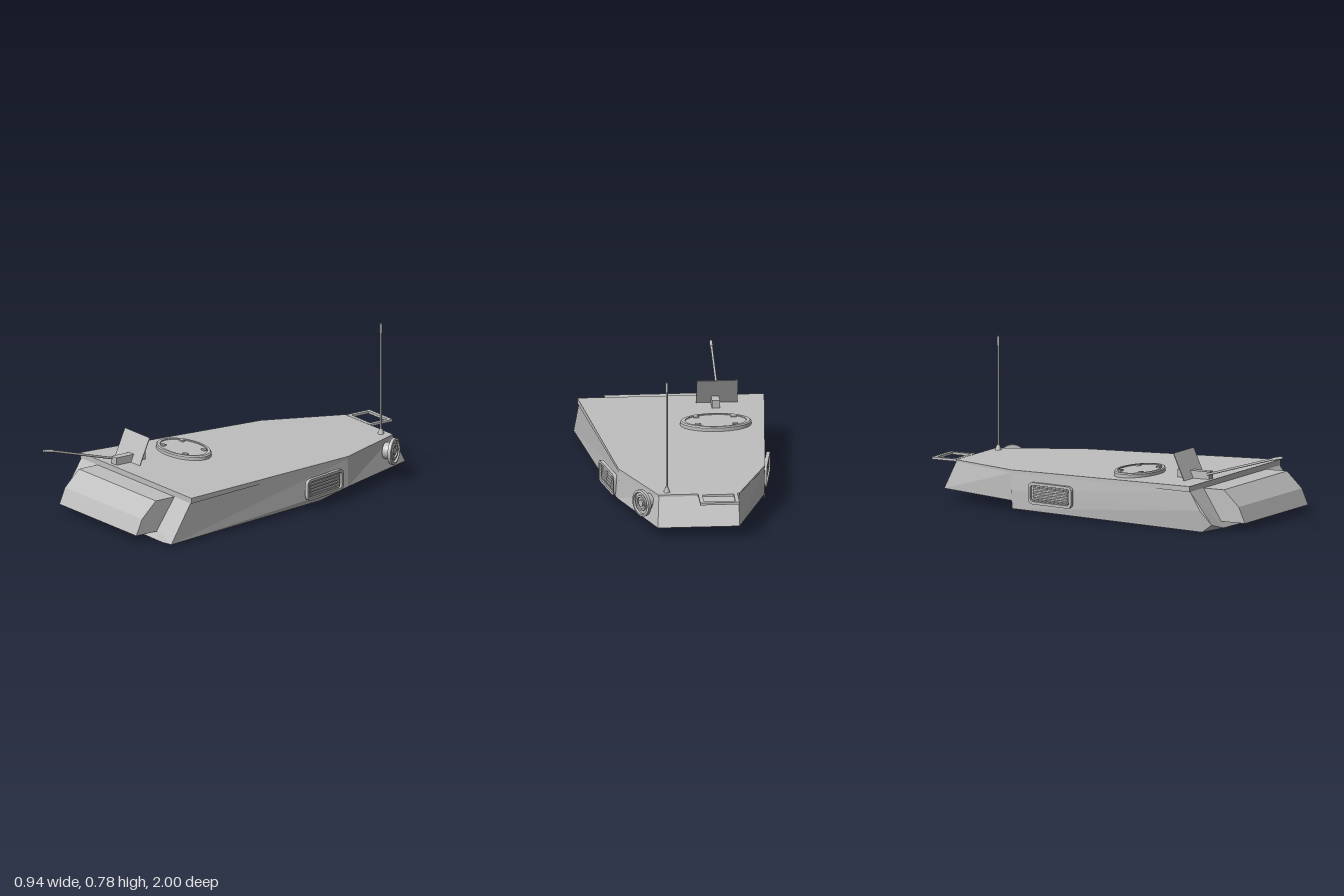
import * as THREE from 'three';

export function createModel() {
  const root = new THREE.Group();
  const grey = new THREE.MeshStandardMaterial({ color: 0xbfbfbf, side: THREE.DoubleSide });
  grey.name = 'light grey';

  const add = (name, geo, parent = root, pos = [0, 0, 0]) => {
    const m = new THREE.Mesh(geo, grey);
    m.name = name;
    m.position.set(...pos);
    parent.add(m);
    return m;
  };
  // Flat convex polygons, each cut into a fan of triangles
  const panel = (name, ...polys) => {
    const v = [];
    for (const p of polys)
      for (let i = 1; i < p.length - 1; i++) v.push(...p[0], ...p[i], ...p[i + 1]);
    const g = new THREE.BufferGeometry();
    g.setAttribute('position', new THREE.Float32BufferAttribute(v, 3));
    g.computeVertexNormals();
    return add(name, g);
  };
  const shapeOf = pts => new THREE.Shape(pts.map(p => new THREE.Vector2(...p)));
  const extrude = (shape, depth) =>
    new THREE.ExtrudeGeometry(shape, { depth, bevelEnabled: false, curveSegments: 8 });
  const roundRect = (w, h, r, T = THREE.Shape) => {
    const s = new T(), x = w / 2, y = h / 2;
    s.moveTo(-x + r, -y);
    s.lineTo(x - r, -y); s.quadraticCurveTo(x, -y, x, -y + r);
    s.lineTo(x, y - r); s.quadraticCurveTo(x, y, x - r, y);
    s.lineTo(-x + r, y); s.quadraticCurveTo(-x, y, -x, y - r);
    s.lineTo(-x, -y + r); s.quadraticCurveTo(-x, -y, -x + r, -y);
    return s;
  };
  const ringPlate = (w, h, r, border, depth) => {
    const s = roundRect(w, h, r);
    s.holes.push(roundRect(w - 2 * border, h - 2 * border, Math.max(r - border, 0.002), THREE.Path));
    return extrude(s, depth);
  };

  // Deck: six-sided plate that thins towards the back
  const deck = extrude(shapeOf([[-0.47, -0.6], [0.459, -0.6], [0.336, 0.455],
    [0.166, 0.857], [-0.235, 0.857], [-0.394, 0.455]]), 1);
  deck.rotateX(-Math.PI / 2);
  const dp = deck.attributes.position;
  for (let i = 0; i < dp.count; i++)
    dp.setY(i, dp.getY(i) > 0.5 ? 0.228 - 0.0125 * (0.6 - dp.getZ(i)) : 0.2);
  deck.computeVertexNormals();
  add('deck', deck);

  // Hull corner points: top edge, then lower edges
  const R0 = [0.452, 0.2, 0.6], R1 = [0.333, 0.2, -0.455], R2 = [0.165, 0.2, -0.857];
  const r0 = [0.468, 0.013, 0.73], r1 = [0.343, 0.06, -0.45], r2 = [0.175, 0.06, -0.925];
  const L0 = [-0.463, 0.2, 0.6], L1 = [-0.391, 0.2, -0.455], L2 = [-0.232, 0.2, -0.857];
  const m0 = [-0.466, 0.11, 0.655], m1 = [-0.395, 0.11, -0.455];
  const lf = [-0.451, 0.04, 0.715], l0 = [-0.45, 0, 0.66], l1 = [-0.392, 0.02, -0.45];
  const k1 = [-0.391, 0.06, -0.45], l2 = [-0.232, 0.06, -0.925];
  const b0 = [0.39, 0.006, 0.73], b1 = [0.343, 0.02, -0.28];
  const c1 = [-0.39, 0.02, -0.28], c0 = [-0.335, 0.01, 0.72];
  const F = [-0.325, 0.2, 0.6];

  panel('rightSide', [r0, r1, R1, R0], [r1, r2, R2, R1]);
  panel('rightUndercut', [r0, b0, b1, r1]);
  panel('leftSide', [L0, L1, m1, m0], [m0, m1, l1, l0], [m0, l0, lf]);
  panel('leftRearSide', [L1, L2, l2, k1]);
  panel('rearWall', [R2, r2, l2, L2]);
  panel('frontWall', [F, c0, b0, r0, R0]);
  panel('frontLeftCorner', [L0, m0, lf, c0, F], [lf, l0, c0]);
  panel('floor', [b0, c0, c1, b1], [b1, c1, k1, r1], [r1, k1, l2, r2]);

  // Nose box across the front
  const nose = extrude(shapeOf([[0.6, 0.2], [0.715, 0.2], [0.8, 0.12], [0.835, 0.04], [0.69, 0.04]]), 0.645);
  nose.rotateY(-Math.PI / 2);
  add('noseBox', nose, root, [0.318, 0, 0]);

  // Oval hatch with a raised rim and four lugs
  const hatch = new THREE.Group();
  hatch.name = 'hatch';
  hatch.position.set(-0.196, 0.215, 0.165);
  hatch.scale.set(0.177, 1, 0.11);
  root.add(hatch);
  const lathe = (pts, n = 40) =>
    new THREE.LatheGeometry(pts.map(p => new THREE.Vector2(...p)), n).toNonIndexed();
  const hatchGeo = lathe([[1, 0], [1, 0.024], [0.96, 0.03], [0.86, 0.03], [0.86, 0.025], [0, 0.025]]);
  hatchGeo.computeVertexNormals();
  add('hatchLid', hatchGeo, hatch);
  for (let i = 0; i < 4; i++) {
    const a = Math.PI / 4 + i * Math.PI / 2;
    add('hatchLug', new THREE.BoxGeometry(0.16, 0.008, 0.16), hatch,
      [Math.cos(a) * 0.74, 0.028, Math.sin(a) * 0.74]);
  }

  // Gun: body, tilted shield and raised barrel
  add('gunBody', new THREE.BoxGeometry(0.04, 0.045, 0.18), root, [-0.215, 0.243, 0.49]);
  const shield = add('gunShield', new THREE.BoxGeometry(0.206, 0.148, 0.004), root, [-0.225, 0.293, 0.459]);
  shield.rotation.x = -0.42;
  const rod = (name, a, b, ra, rb) => {
    const A = new THREE.Vector3(...a), B = new THREE.Vector3(...b), d = B.clone().sub(A);
    const m = add(name, new THREE.CylinderGeometry(rb, ra, d.length(), 10));
    m.position.copy(A).addScaledVector(d, 0.5);
    m.quaternion.setFromUnitVectors(new THREE.Vector3(0, 1, 0), d.normalize());
  };
  rod('gunBarrel', [-0.235, 0.252, 0.57], [-0.235, 0.366, 0.965], 0.006, 0.006);
  rod('gunMuzzle', [-0.235, 0.36, 0.945], [-0.235, 0.371, 0.998], 0.008, 0.008);

  // Antenna
  rod('antennaBase', [0.122, 0.205, -0.815], [0.122, 0.236, -0.815], 0.018, 0.008);
  rod('antennaLower', [0.122, 0.23, -0.815], [0.122, 0.74, -0.815], 0.005, 0.005);
  rod('antennaTip', [0.122, 0.735, -0.815], [0.122, 0.783, -0.815], 0.0065, 0.0065);

  // Open frame at the back
  const frame = ringPlate(0.196, 0.145, 0.003, 0.02, 0.012);
  frame.rotateX(-Math.PI / 2);
  add('rearFrame', frame, root, [-0.128, 0.199, -0.927]);

  // Round lamp with stepped rings on the right rear side
  const lampGeo = lathe([[0, 0], [0.042, 0], [0.042, 0.034], [0.068, 0.038], [0.068, 0.054],
    [0.056, 0.057], [0.054, 0.046], [0.04, 0.046], [0.04, 0.055], [0.03, 0.055],
    [0.03, 0.046], [0.017, 0.046], [0.017, 0.054], [0, 0.054]], 28);
  lampGeo.computeVertexNormals();
  lampGeo.rotateX(Math.PI / 2);
  const lamp = add('sideLamp', lampGeo, root, [0.207, 0.152, -0.778]);
  lamp.rotation.y = Math.atan2(0.84, -0.54);

  // Slatted vents, one on each side
  const vent = (name, x, z, nx, nz) => {
    const g = new THREE.Group();
    g.name = name;
    g.position.set(x, 0.11, z);
    g.rotation.y = Math.atan2(nx, nz);
    root.add(g);
    add('ventBack', extrude(roundRect(0.262, 0.104, 0.026), 0.004), g);
    add('ventRim', ringPlate(0.268, 0.11, 0.03, 0.014, 0.018), g);
    add('ventInnerRim', ringPlate(0.226, 0.078, 0.018, 0.006, 0.012), g);
    for (let i = 0; i < 4; i++)
      add('ventSlat', new THREE.BoxGeometry(0.21, 0.008, 0.012), g, [0, -0.024 + i * 0.016, 0.008]);
  };
  vent('rightVent', 0.366, -0.28, 0.978, -0.207);
  vent('leftVent', -0.412, -0.215, -0.985, -0.14);

  return root;
}
